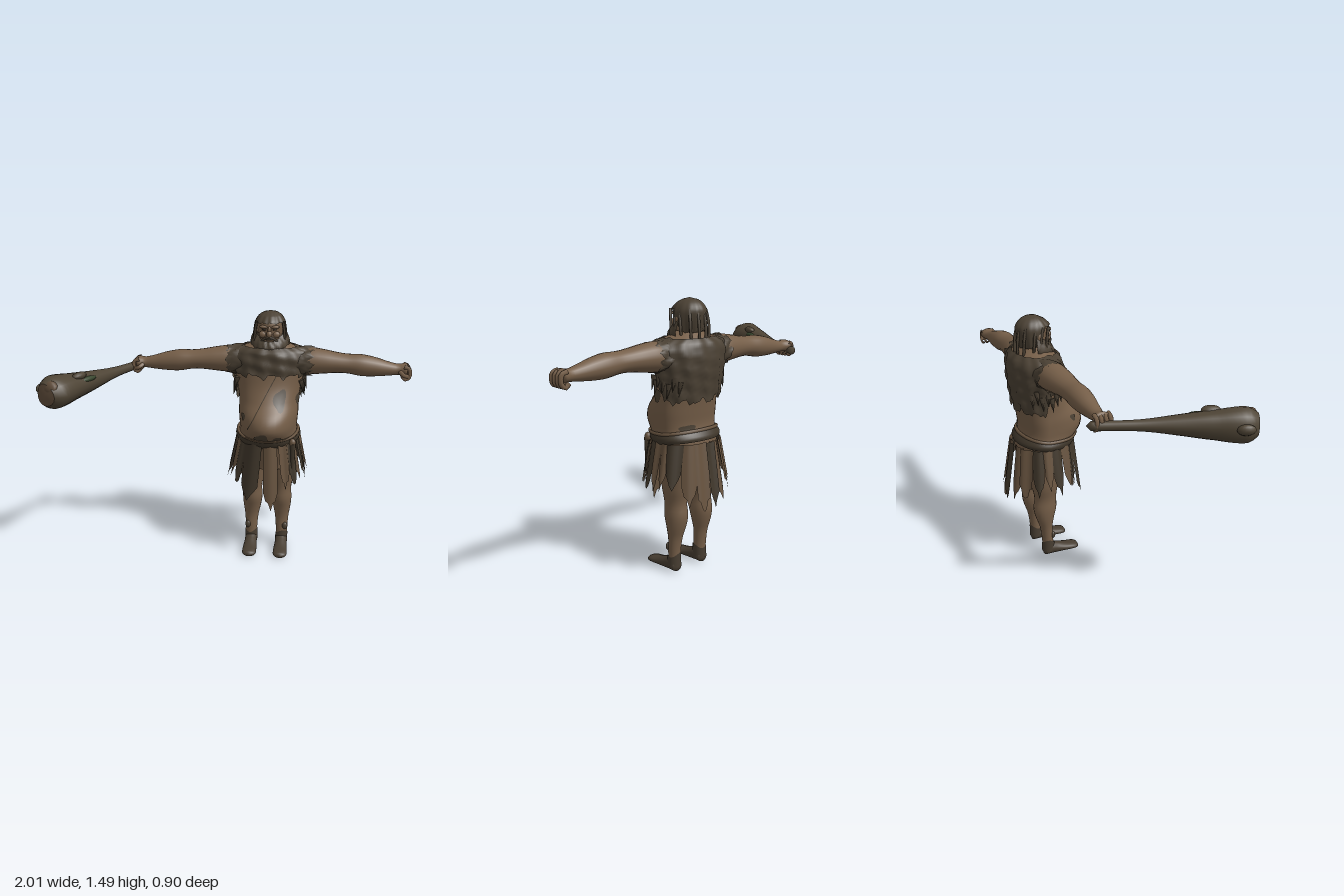
import * as THREE from 'three';
import { mergeVertices } from 'three/addons/utils/BufferGeometryUtils.js';

const CX = 0.19; // body centre line
const mat = (name, color, side = THREE.FrontSide) => Object.assign(new THREE.MeshStandardMaterial({ color, side }), { name });
const M = {
  skin: mat('skin', 0x755e48),
  fur: mat('fur', 0x4a4033, THREE.DoubleSide),
  leather: mat('tanLeather', 0x66523e, THREE.DoubleSide),
  dark: mat('darkLeather', 0x40372b, THREE.DoubleSide),
  boot: mat('boot', 0x473d31),
  wood: mat('wood', 0x4e4435),
  cut: mat('cutWood', 0x604d3b),
  moss: mat('moss', 0x39472f),
};

// Smooth lookup in rows keyed by their first, rising column
function at(rows, k) {
  let i = 0;
  while (i < rows.length - 2 && k > rows[i + 1][0]) i++;
  const p = j => rows[Math.min(Math.max(j, 0), rows.length - 1)];
  const f = Math.min(Math.max((k - p(i)[0]) / (p(i + 1)[0] - p(i)[0]), 0), 1);
  return rows[i].map((_, c) => c === 0 ? k : 0.5 * (2 * p(i)[c] + (p(i + 1)[c] - p(i - 1)[c]) * f
    + (2 * p(i - 1)[c] - 5 * p(i)[c] + 4 * p(i + 1)[c] - p(i + 2)[c]) * f * f
    + (3 * p(i)[c] - p(i - 1)[c] - 3 * p(i + 1)[c] + p(i + 2)[c]) * f ** 3));
}

// Smooth sheet from fn(u, v) -> [x, y, z]
function sheet(nu, nv, fn) {
  const pos = [], idx = [];
  for (let j = 0; j <= nv; j++) for (let i = 0; i <= nu; i++) pos.push(...fn(i / nu, j / nv));
  for (let j = 0; j < nv; j++) for (let i = 0; i < nu; i++) {
    const a = j * (nu + 1) + i, d = a + nu + 1;
    idx.push(a, a + 1, d + 1, a, d + 1, d);
  }
  let g = new THREE.BufferGeometry();
  g.setAttribute('position', new THREE.Float32BufferAttribute(pos, 3));
  g.setIndex(idx);
  g = mergeVertices(g, 1e-5);
  g.computeVertexNormals();
  return g;
}
const loft = (rows, nu, nv, map) => {
  const k0 = rows[0][0], k1 = rows[rows.length - 1][0];
  return sheet(nu, nv, (u, v) => map(at(rows, k0 + (k1 - k0) * v), u * Math.PI * 2));
};
// Body ring with separate front and back depth: rows are [y, halfWidth, zFront, zBack]
function ring(rows, a, y, off = 0, zc = -0.24) {
  const [, rx, zf, zb] = at(rows, y), c = Math.cos(a);
  return [CX + (rx + off) * Math.sin(a), y, zc + ((c > 0 ? zf - zc : zc - zb) + off) * c];
}
const rag = (a, s = 0) => 0.5 * Math.sin(a * 11 + s) + 0.3 * Math.sin(a * 23 + 1 + s) + 0.2 * Math.sin(a * 37 + 2);
const smooth = THREE.MathUtils.smoothstep;
const rad = THREE.MathUtils.degToRad;

const TORSO = [
  [0.55, 0.14, -0.13, -0.34], [0.70, 0.165, -0.07, -0.37], [0.76, 0.175, -0.035, -0.37], [0.80, 0.17, 0.01, -0.35],
  [0.84, 0.172, 0.03, -0.345], [0.90, 0.176, 0.01, -0.352], [0.97, 0.176, -0.055, -0.362], [1.05, 0.185, -0.1, -0.372],
  [1.13, 0.2, -0.12, -0.382], [1.22, 0.215, -0.125, -0.38], [1.265, 0.2, -0.135, -0.365], [1.29, 0.13, -0.16, -0.34], [1.32, 0.07, -0.19, -0.3]];
const HEAD = [[1.24, 0.06, -0.2, -0.3], [1.3, 0.064, -0.175, -0.31], [1.33, 0.066, -0.16, -0.318], [1.38, 0.073, -0.166, -0.33],
  [1.415, 0.074, -0.158, -0.33], [1.45, 0.062, -0.18, -0.32], [1.47, 0, -0.25, -0.25]];
const HAIR = [[1.28, 0.07, -0.18, -0.325], [1.34, 0.083, -0.16, -0.338], [1.4, 0.089, -0.152, -0.346], [1.43, 0.085, -0.156, -0.345],
  [1.46, 0.066, -0.185, -0.325], [1.478, 0.038, -0.22, -0.295], [1.486, 0, -0.25, -0.25]];
const ARM = [[0.28, 1.19, -0.24, 0.07, 0.08], [0.42, 1.2, -0.24, 0.078, 0.083], [0.5, 1.2, -0.235, 0.07, 0.077], [0.58, 1.197, -0.23, 0.059, 0.067],
  [0.64, 1.193, -0.228, 0.056, 0.062], [0.72, 1.186, -0.228, 0.062, 0.063], [0.8, 1.178, -0.23, 0.054, 0.055], [0.88, 1.169, -0.232, 0.039, 0.041],
  [0.93, 1.166, -0.235, 0.031, 0.035], [0.96, 1.168, -0.235, 0.034, 0.046], [0.98, 1.17, -0.235, 0.027, 0.045], [0.99, 1.17, -0.235, 0, 0]];
const LEG = [[0.07, 0.095, -0.237, 0.034, 0.034], [0.12, 0.095, -0.238, 0.036, 0.034], [0.2, 0.094, -0.245, 0.042, 0.038], [0.27, 0.092, -0.25, 0.055, 0.056],
  [0.33, 0.09, -0.247, 0.061, 0.07], [0.4, 0.09, -0.243, 0.058, 0.066], [0.48, 0.09, -0.245, 0.072, 0.08], [0.6, 0.085, -0.245, 0.084, 0.1], [0.7, 0.08, -0.24, 0.08, 0.11]];
const FOOT = [[-0.272, 0.03, 0, 0], [-0.262, 0.035, 0.03, 0.032], [-0.23, 0.043, 0.037, 0.042], [-0.18, 0.034, 0.038, 0.034],
  [-0.12, 0.024, 0.042, 0.024], [-0.07, 0.019, 0.043, 0.019], [-0.045, 0.016, 0.033, 0.015], [-0.035, 0.015, 0, 0]];
const CLUB = [[0, 0], [0.002, 0.022], [0.15, 0.025], [0.28, 0.031], [0.45, 0.052], [0.62, 0.074], [0.73, 0.089], [0.78, 0.084], [0.815, 0.06]];

export function createModel() {
  const root = new THREE.Group();
  const add = (name, geo, material, parent = root) => {
    const m = new THREE.Mesh(geo, material);
    m.name = name;
    parent.add(m);
    return m;
  };
  const ball = (name, material, p, s) => {
    const m = add(name, new THREE.SphereGeometry(1, 14, 10), material);
    m.position.set(...p);
    m.scale.set(...s);
    return m;
  };
  const tube = (name, material, pts, r) => add(name,
    new THREE.TubeGeometry(new THREE.CatmullRomCurve3(pts.map(p => new THREE.Vector3(...p))), 10, r, 6), material);

  // Torso, with dirt patches and a diagonal cord lying on it
  add('torso', sheet(40, 48, (u, v) => ring(TORSO, u * Math.PI * 2, 0.55 + 0.77 * v)), M.skin);
  for (const [a, y, w, h] of [[24, 1.0, 0.21, 0.058], [-8, 0.79, 0.24, 0.035], [22, 0.775, 0.22, 0.025], [75, 0.99, 0.22, 0.035], [-50, 0.9, 0.1, 0.02], [150, 0.82, 0.3, 0.02]])
    add('dirtPatch', sheet(18, 4, (u, v) => {
      const t = -u * Math.PI * 2, r = (1 - v) * (1 + 0.16 * Math.sin(3 * t + a));
      return ring(TORSO, rad(a) + w * r * Math.cos(t), y + h * r * Math.sin(-t) * -1, 0.004);
    }), M.fur);
  add('chestCord', sheet(24, 1, (u, v) => {
    const y = 0.845 + 0.3 * u, x = -0.105 + 0.155 * u;
    return ring(TORSO, Math.asin(x / at(TORSO, y)[1]), y - 0.01 * (1 - v), 0.004);
  }), M.dark);

  // Fur vest: short in front, long behind, ragged hem
  add('furVest', sheet(120, 14, (u, v) => {
    const a = u * Math.PI * 2, c = Math.cos(a);
    const low = 0.965 + 0.165 * smooth(c, -0.25, 0.25) + 0.022 * rag(a);
    const y = low + (1.287 - low) * v;
    return ring(TORSO, a, y, 0.017 + 0.007 * Math.sin(a * 9 + y * 50) * Math.sin(a * 5 - y * 35));
  }), M.fur);
  for (let i = 0; i < 14; i++) { // loose tufts below the arms
    const a = (i % 2 ? 1 : -1) * (1.15 + 0.09 * i), p = ring(TORSO, a, 1.07 - 0.012 * (i % 5), 0.02);
    const t = add('furTuft', new THREE.ConeGeometry(0.018, 0.08, 5), M.fur);
    t.position.set(...p);
    t.rotation.set(Math.PI, 0, Math.sin(a) * -0.25);
  }

  // Limbs
  for (const s of [1, -1]) {
    const side = s > 0 ? 'left' : 'right', X = d => CX + s * d;
    add(side + 'Arm', loft(ARM, 20, 44, ([x, y, z, ry, rz], a) =>
      [X(x - CX), y - s * ry * Math.sin(a), z + rz * Math.cos(a)]), M.skin);
    add(side + 'FurSleeve', sheet(48, 6, (u, v) => {
      const a = u * Math.PI * 2, x = 0.33 + (0.105 + 0.018 * rag(a, s)) * v;
      const r = 0.094 + 0.006 * Math.sin(a * 6 + v * 7) - 0.01 * v;
      return [X(x - CX), 1.2 - s * r * 0.95 * Math.sin(a), -0.24 + r * 1.02 * Math.cos(a)];
    }), M.fur);
    for (let i = 0; i < 4; i++) {
      const z = -0.272 + 0.025 * i;
      tube(side + 'Finger', M.skin, [[X(0.765), 1.19, z], [X(0.795), 1.178, z], [X(0.798), 1.135, z], [X(0.778), 1.117, z], [X(0.758), 1.135, z]], 0.0125);
    }
    tube(side + 'Thumb', M.skin, [[X(0.745), 1.16, -0.205], [X(0.765), 1.145, -0.185], [X(0.79), 1.135, -0.195]], 0.013);

    add(side + 'Leg', loft(LEG, 20, 28, ([y, x, z, rx, rz], a) => [X(x) + rx * Math.sin(a), y, z + rz * Math.cos(a)]), M.skin);
    add(side + 'BootShaft', sheet(24, 5, (u, v) => {
      const a = u * Math.PI * 2, y = 0.03 + (0.07 + 0.012 * Math.sin(a * 2 + s)) * v;
      return [X(0.095) + 0.038 * Math.sin(a), y, -0.235 + 0.038 * Math.cos(a)];
    }), M.boot);
    add(side + 'Boot', loft(FOOT, 18, 24, ([z, y, rx, ry], a) =>
      [X(0.095) - rx * Math.sin(a), Math.max(0, y + ry * Math.cos(a)), z]), M.boot);
    ball(side + 'ShinDirt', M.fur, [X(0.115), 0.14, -0.212], [0.018, 0.024, 0.014]);
  }

  // Head and face
  add('head', sheet(28, 24, (u, v) => ring(HEAD, u * Math.PI * 2, 1.24 + 0.23 * v, 0, -0.25)), M.skin);
  ball('nose', M.skin, [CX, 1.365, -0.16], [0.017, 0.02, 0.02]);
  ball('noseBridge', M.skin, [CX, 1.388, -0.165], [0.01, 0.025, 0.014]);
  ball('mouth', M.dark, [CX, 1.334, -0.161], [0.024, 0.004, 0.005]);
  for (const s of [1, -1]) {
    ball('cheek', M.skin, [CX + s * 0.037, 1.36, -0.182], [0.024, 0.02, 0.018]);
    ball('brow', M.skin, [CX + s * 0.03, 1.405, -0.172], [0.028, 0.01, 0.016]);
    ball('eye', M.dark, [CX + s * 0.03, 1.39, -0.171], [0.012, 0.005, 0.006]);
    ball('ear', M.skin, [CX + s * 0.08, 1.375, -0.245], [0.012, 0.026, 0.018]);
  }

  // Hair with hanging locks, and beard
  add('hair', sheet(72, 16, (u, v) => {
    const a = u * Math.PI * 2;
    const low = 1.425 - 0.11 * smooth(-Math.cos(a), -0.5, 0.35) + 0.007 * rag(a);
    return ring(HAIR, a, low + (1.486 - low) * v, v < 1 ? 0.003 * Math.sin(a * 14) * (1 - v) : 0, -0.25);
  }), M.fur);
  for (const s of [1, -1]) for (const [x, z, y] of [[0.083, -0.2, 1.29], [0.088, -0.235, 1.32], [0.085, -0.275, 1.3], [0.062, -0.325, 1.28], [0.022, -0.345, 1.285]])
    tube('hairLock', M.fur, [[CX + s * x * 0.9, 1.43, z + 0.012], [CX + s * x, 1.38, z], [CX + s * x * 1.04, 1.33, z - 0.006], [CX + s * x, y, z - 0.008]], 0.008);
  add('beard', sheet(40, 10, (u, v) => {
    const a = (u - 0.5) * 3.5, low = 1.235 + 0.012 * rag(a);
    const y = low + (1.322 + 0.06 * (1 - Math.cos(a)) - low) * v;
    return ring(HEAD, a, y, 0.006 + 0.042 * Math.sin(Math.PI * (0.15 + 0.85 * v)) + 0.003 * Math.sin(a * 17 + v * 8), -0.25);
  }), M.fur);
  tube('moustache', M.fur, [[0.145, 1.325, -0.172], [0.168, 1.343, -0.156], [CX, 1.347, -0.151], [0.212, 1.343, -0.156], [0.235, 1.325, -0.172]], 0.007);

  // Belt, higher behind, with its edge roll and a hanging knife
  const beltY = a => 0.765 - 0.02 * Math.cos(a);
  add('belt', sheet(60, 4, (u, v) => {
    const a = u * Math.PI * 2;
    return ring(TORSO, a, beltY(a) - 0.03 + 0.05 * v, 0.011 + 0.008 * Math.sin(Math.PI * v));
  }), M.dark);
  add('waistRoll', sheet(60, 8, (u, v) => {
    const a = u * Math.PI * 2, t = -v * Math.PI * 2;
    return ring(TORSO, a, beltY(a) + 0.022 + 0.009 * Math.sin(-t), 0.008 + 0.009 * Math.cos(t));
  }), M.leather);
  const knife = add('hangingKnife', new THREE.CylinderGeometry(0.016, 0.01, 0.19, 8), M.dark);
  knife.position.set(0.345, 0.645, -0.085);
  ball('knifeGrip', M.leather, [0.342, 0.745, -0.09], [0.02, 0.025, 0.02]);

  // Skirt of pointed hide strips: [angle, half width, tip height, layer, hide]
  const strips = [[8, 13, 0.34, 0, 'leather'], [-24, 17, 0.385, 1, 'dark'], [30, 9, 0.46, 1, 'leather'], [44, 8, 0.47, 2, 'dark'], [-47, 9, 0.46, 0, 'dark'],
    [-62, 10, 0.49, 1, 'leather'], [58, 9, 0.5, 0, 'leather'], [72, 8, 0.47, 1, 'dark'], [86, 9, 0.48, 0, 'leather'], [-80, 11, 0.47, 0, 'dark'],
    [-98, 10, 0.5, 1, 'leather'], [102, 10, 0.5, 1, 'leather'], [122, 15, 0.5, 2, 'dark'], [-118, 13, 0.47, 0, 'dark'], [146, 14, 0.42, 1, 'leather'],
    [-141, 14, 0.44, 1, 'leather'], [167, 12, 0.37, 0, 'leather'], [-178, 9, 0.39, 2, 'dark'], [-162, 12, 0.42, 0, 'leather']];
  for (const [deg, w, tip, layer, hide] of strips)
    add('skirtStrip', sheet(6, 10, (u, v) => {
      const t = 1 - v, e = 2 * u - 1, a = rad(deg + w * e * (1 - 0.22 * t));
      const y = 0.745 - t * (0.745 - tip - (0.085 * Math.abs(e) + 0.02 * Math.sin(deg + u * 9) ** 2));
      const k = 0.745 - y, out = 0.006 * layer + 0.006 * Math.sin(e * 3 + deg);
      const c = Math.cos(a), depth = c > 0 ? 0.2 + 0.1 * k : 0.15 + 0.16 * k;
      return [CX + (0.184 + 0.21 * k + out) * Math.sin(a), y, -0.24 + (depth + out) * c];
    }), M[hide]);

  // Club, laid along its axis from the grip to the heavy end
  const club = new THREE.Group();
  club.name = 'club';
  club.position.set(-0.575, 1.142, -0.315);
  club.quaternion.setFromUnitVectors(new THREE.Vector3(0, 1, 0), new THREE.Vector3(-0.352, 0, 0.742).normalize());
  root.add(club);
  const bark = (h, r, a) => r * (1 + 0.05 * Math.sin(3 * a + h * 6) * smooth(h, 0.2, 0.6));
  add('clubShaft', loft(CLUB, 18, 36, ([h, r], a) =>
    [bark(h, r, a) * Math.sin(a), h, bark(h, r, a) * Math.cos(a)]), M.wood, club);
  add('clubEnd', sheet(18, 2, (u, v) => {
    const a = u * Math.PI * 2, r = bark(0.815, 0.06, a) * (1 - v);
    return [r * Math.sin(a), 0.815 + 0.006 * v, r * Math.cos(a)];
  }), M.cut, club);
  for (const [x, y, z, m, sx, sy, sz] of [[-0.767, 1.172, 0.2, 'moss', 0.022, 0.065, 0.016], [-0.975, 1.15, 0.32, 'wood', 0.025, 0.045, 0.03],
    [-0.8, 1.2, 0.24, 'wood', 0.03, 0.05, 0.022], [-0.9, 1.175, 0.405, 'cut', 0.05, 0.03, 0.04]]) {
    const b = ball(m === 'moss' ? 'mossPatch' : 'clubKnot', M[m], [x, y, z], [sx, sy, sz]);
    b.quaternion.copy(club.quaternion);
  }
  return root;
}
